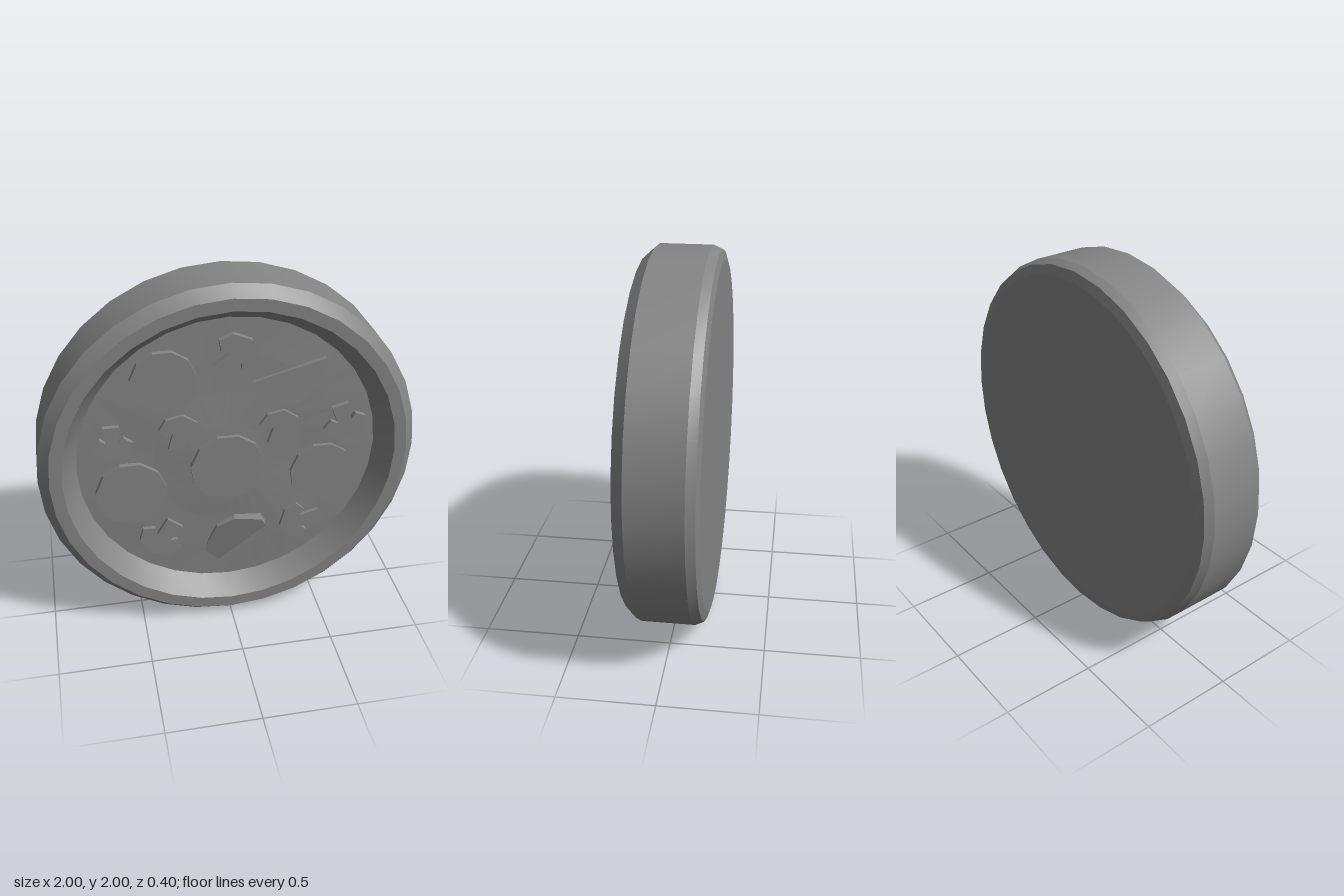
import * as THREE from 'three';
import { toCreasedNormals } from 'three/addons/utils/BufferGeometryUtils.js';

const material = new THREE.MeshStandardMaterial({ color: 0x848484 });
const flatMaterial = new THREE.MeshStandardMaterial({ color: 0x848484, flatShading: true });
const EDGE_Z = 0.08; // height of the filling where it meets the crust

export function createModel() {
  const model = new THREE.Group();
  const pizza = new THREE.Group();
  pizza.name = 'pizza';
  pizza.position.y = 1;
  model.add(pizza);

  const add = (name, geometry, mat = material) => {
    const mesh = new THREE.Mesh(geometry, mat);
    mesh.name = name;
    pizza.add(mesh);
    return mesh;
  };

  // Crust: bevelled disc with a raised rim, turned to face +z
  const profile = [
    [0, -0.2], [0.93, -0.2], [0.98, -0.185], [1, -0.14], [1, 0.14],
    [0.945, 0.2], [0.88, 0.2], [0.8, EDGE_Z],
  ].map(([r, z]) => new THREE.Vector2(r, z));
  const crust = new THREE.LatheGeometry(profile, 32).rotateX(Math.PI / 2);
  add('crust', toCreasedNormals(crust, 0.25));

  // Filling: slightly domed, gently uneven surface
  const filling = new THREE.RingGeometry(0, 0.8, 32, 4);
  const p = filling.attributes.position;
  for (let i = 0; i < p.count; i++) {
    const x = p.getX(i), y = p.getY(i);
    const rise = 1 - (x * x + y * y) / 0.64;
    p.setZ(i, EDGE_Z + rise * (0.015 + 0.01 * Math.sin(7 * x + 2) * Math.cos(6 * y)));
  }
  add('filling', filling, flatMaterial);

  // Toppings: flat outlines extruded out of the filling
  const slab = (name, points, x, y, top) => {
    const shape = new THREE.Shape(points.map(([u, v]) => new THREE.Vector2(u, v)));
    const geometry = new THREE.ExtrudeGeometry(shape, { depth: 0.06, bevelEnabled: false });
    const mesh = add(name, geometry.translate(0, 0, -0.06), flatMaterial);
    mesh.position.set(x, y, top);
    return mesh;
  };

  // Round sausage slices: x, y, radius, top
  const discs = [
    [-0.335, 0.485, 0.17, 0.112], [-0.01, -0.055, 0.2, 0.122],
    [-0.525, -0.165, 0.19, 0.112], [0.51, -0.15, 0.175, 0.105],
  ];
  for (const [x, y, r, top] of discs) {
    const points = Array.from({ length: 11 }, (_, i) => {
      const a = (i + 0.25) * Math.PI * 2 / 11;
      return [r * Math.cos(a), r * Math.sin(a)];
    });
    slab('sausageSlice', points, x, y, top);
  }

  // Half slices, each tipped so one side sinks into the filling
  const upperHalf = slab('halfSlice', [
    [-0.18, -0.02], [-0.14, -0.13], [-0.03, -0.165], [0.06, -0.155],
    [0.165, -0.07], [0.21, 0.035], [0.2, 0.085],
  ], 0.3, 0.46, 0.113);
  upperHalf.rotation.set(-0.06, -0.05, 0);
  const lowerHalf = slab('halfSlice', [
    [-0.155, -0.14], [-0.105, -0.17], [0.17, 0.1], [0.145, 0.145],
    [-0.005, 0.155], [-0.1, 0.1], [-0.145, 0.005], [-0.165, -0.08],
  ], 0.03, -0.545, 0.108);
  lowerHalf.rotation.set(0.12, -0.1, 0);

  // Mushroom slices: x, y, turn in degrees, size
  const mushroom = [
    [-0.045, -0.1], [0.045, -0.1], [0.035, -0.005], [0.065, -0.03], [0.112, 0.005], [0.085, 0.068],
    [0, 0.103], [-0.085, 0.068], [-0.112, 0.005], [-0.065, -0.03], [-0.035, -0.005],
  ];
  const mushrooms = [
    [0.035, 0.595, -45, 1.15], [-0.61, 0.16, 180, 0.95], [-0.26, 0.185, -10, 1], [0.27, 0.16, -12, 1],
    [0.62, 0.155, 195, 1.05], [-0.37, -0.475, 142, 1.15], [0.4, -0.465, 98, 1.1],
  ];
  for (const [x, y, turn, size] of mushrooms) {
    const slice = slab('mushroomSlice', mushroom, x, y, 0.112);
    slice.rotation.z = THREE.MathUtils.degToRad(turn);
    slice.scale.set(size, size, 1);
  }

  return model;
}
